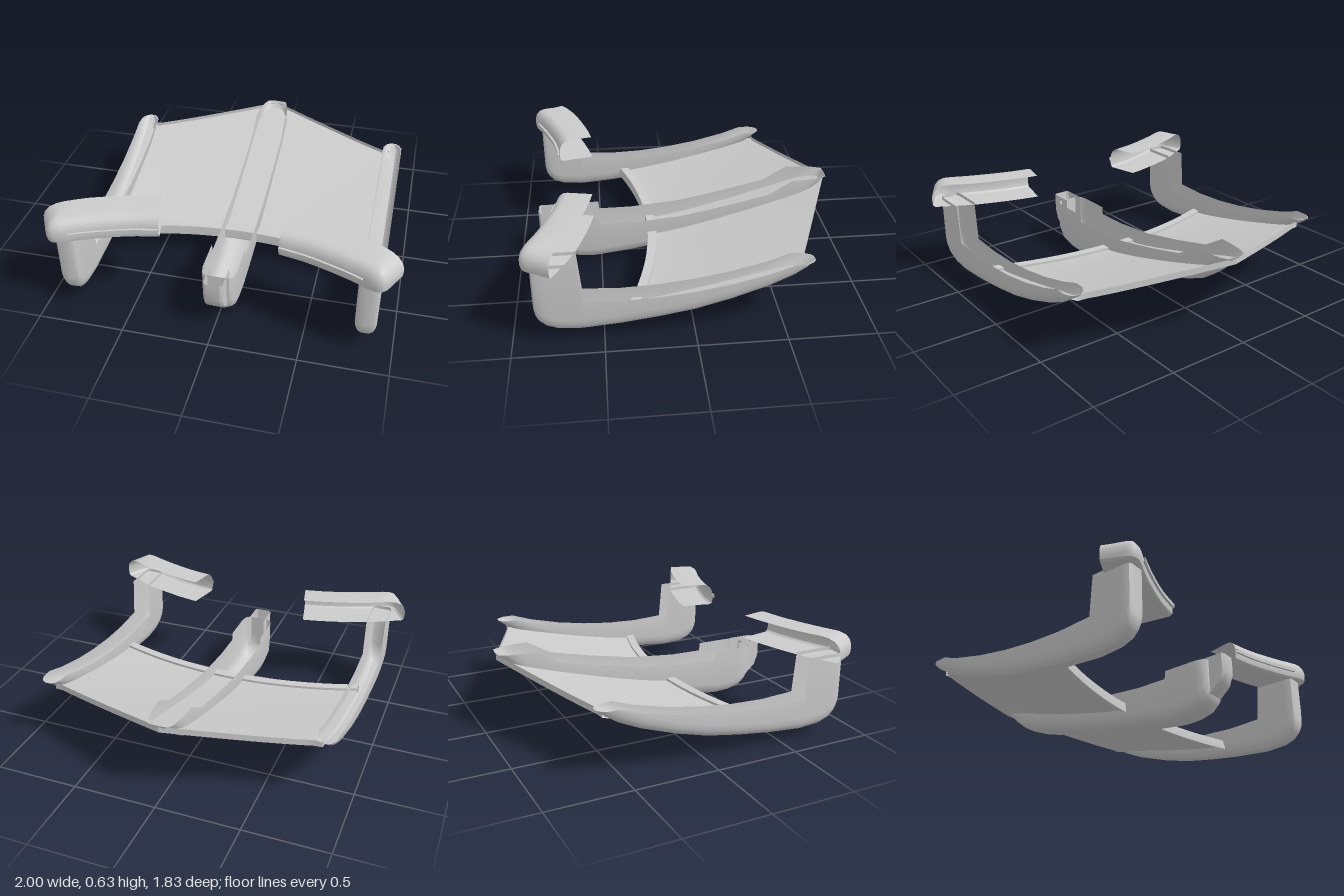
import * as THREE from 'three';
import { toCreasedNormals } from 'three/addons/utils/BufferGeometryUtils.js';

const material = new THREE.MeshStandardMaterial({ color: 0xcccccc, side: THREE.DoubleSide });

// Skin a list of rows, each row holding the same number of [x, y, z] points
function skin(name, rows, crease = 0.6) {
  const n = rows[0].length, index = [];
  for (let i = 0; i < rows.length - 1; i++) {
    for (let j = 0; j < n - 1; j++) {
      const a = i * n + j, b = a + n;
      index.push(a, b, a + 1, a + 1, b, b + 1);
    }
  }
  const geo = new THREE.BufferGeometry();
  geo.setAttribute('position', new THREE.Float32BufferAttribute(rows.flat(2), 3));
  geo.setIndex(index);
  const mesh = new THREE.Mesh(toCreasedNormals(geo, crease), material);
  mesh.name = name;
  return mesh;
}

// Open-topped hull: stations are [z, top y, bottom y, half width], front to back
const U = [[-1, 1], [-1, 0.075], [-0.9, 0.04], [-0.7, 0.015], [-0.4, 0], [0.4, 0],
  [0.7, 0.015], [0.9, 0.04], [1, 0.075], [1, 1]];
function hull(name, stations, cx) {
  const rows = stations.map(([z, top, bottom, w]) => U.map(([u, h]) =>
    [cx + u * w, h === 1 ? top : Math.min(top, bottom + h), z]));
  return skin(name, rows);
}

const RAIL = [
  [0.87, 0.51, 0.2, 0], [0.87, 0.51, 0.2, 0.04], [0.862, 0.51, 0.165, 0.052],
  [0.845, 0.51, 0.135, 0.058], [0.81, 0.51, 0.102, 0.06], [0.75, 0.51, 0.079, 0.06],
  [0.63, 0.51, 0.07, 0.06], [0.61, 0.27, 0.07, 0.06], [0.4, 0.26, 0.088, 0.06],
  [0.2, 0.268, 0.115, 0.06], [0, 0.29, 0.15, 0.06], [-0.2, 0.325, 0.205, 0.06],
  [-0.4, 0.375, 0.275, 0.06], [-0.53, 0.42, 0.335, 0.06], [-0.6, 0.42, 0.38, 0.058],
  [-0.635, 0.42, 0.405, 0.04], [-0.65, 0.42, 0.418, 0.02], [-0.653, 0.42, 0.42, 0]];

const KEEL = [
  [0.775, 0.31, 0.1, 0], [0.775, 0.31, 0.1, 0.07], [0.755, 0.31, 0.065, 0.09],
  [0.71, 0.31, 0.03, 0.1], [0.63, 0.31, 0.008, 0.1], [0.55, 0.31, 0.004, 0.1],
  [0.505, 0.31, 0.008, 0.1], [0.5, 0.26, 0.009, 0.1], [0.3, 0.262, 0.036, 0.1],
  [0, 0.29, 0.09, 0.1], [-0.3, 0.35, 0.16, 0.1], [-0.55, 0.41, 0.232, 0.1],
  [-0.69, 0.495, 0.29, 0.098], [-0.78, 0.495, 0.36, 0.092], [-0.86, 0.495, 0.435, 0.08],
  [-0.91, 0.495, 0.485, 0.058], [-0.915, 0.495, 0.495, 0]];

// Curved deck with an arched flat front lip, a pointed back edge and a low back rim
function deck() {
  const rows = [], nx = 32, nz = 20;
  for (let i = 0; i <= nx; i++) {
    const x = -0.82 + 1.64 * i / nx, a = Math.min(1, Math.abs(x) / 0.78);
    const zf = 0.21 + 0.15 * (x / 0.82) ** 2, zb = -0.91 + 0.31 * a;
    const yb = 0.37 + 0.095 * (1 - a) ** 1.2;
    const top = [], under = [];
    for (let j = 0; j <= nz; j++) {
      const t = j / nz, z = zf - 0.06 + (zb - zf + 0.06) * t;
      const y = 0.175 + (yb - 0.175) * t ** 1.2;
      top.push([x, y, z]);
      under.unshift([x, y - 0.015, z]);
    }
    rows.push([...under, [x, 0.13, zf], [x, 0.15, zf], [x, 0.19, zf - 0.005],
      [x, 0.19, zf - 0.06], ...top, [x, yb + 0.022, zb], under[0]]);
  }
  return skin('deck', rows);
}

// Bumper channel section: [fraction from back edge to outer edge, y]
const CHANNEL = [[0, 0.49], [0.92, 0.49], [0.98, 0.5], [1, 0.52], [1, 0.555],
  [0.97, 0.585], [0.9, 0.61], [0.8, 0.625], [0.68, 0.63], [0, 0.63]];

function bumper(side) {
  const group = new THREE.Group();
  const path = (pts) => new THREE.CatmullRomCurve3(pts.map(([x, z]) => new THREE.Vector3(x, 0, z)));
  const front = path([[0.335, 0.735], [0.48, 0.765], [0.62, 0.81], [0.76, 0.865], [0.86, 0.91],
    [0.9, 0.912], [0.925, 0.895], [0.96, 0.835], [1, 0.76]]);
  const back = path([[0.38, 0.53], [0.48, 0.55], [0.59, 0.58], [0.7, 0.615], [0.78, 0.645],
    [0.8, 0.655], [0.815, 0.662], [0.825, 0.667], [0.835, 0.672]]);
  const rows = [], strip = [];
  for (let i = 0; i <= 40; i++) {
    const p = front.getPoint(i / 40), b = back.getPoint(i / 40);
    // The upper edge grows rounder towards the outer end
    const round = 1 + 1.1 * THREE.MathUtils.smoothstep(i, 24, 40);
    rows.push(CHANNEL.map(([u, y]) => {
      const f = y > 0.53 && u > 0 ? 1 - (1 - u) * round : u;
      return [side * (b.x + (p.x - b.x) * f), y, b.z + (p.z - b.z) * f];
    }));
    // Narrow trim strip along the front face
    if (p.x < 0.81) strip.push([[0, 0.535], [0.014, 0.535], [0.014, 0.557], [0, 0.557]]
      .map(([d, y]) => [side * p.x, y, p.z + d]));
  }
  group.add(skin('bumperChannel', rows), skin('bumperTrim', strip, 0.3));
  group.name = side > 0 ? 'leftBumper' : 'rightBumper';
  return group;
}

// Open box on the nose of the keel, its underside sloping back into the hull
function noseSocket() {
  const outline = [[-0.055, 0.71], [-0.055, 0.86], [-0.04, 0.872], [0.04, 0.872], [0.055, 0.86], [0.055, 0.71]];
  const rows = [[0.41, 0.1], [0.85, 0.16], [1, 0.22], [1, 0.33]].map(([s, y]) =>
    outline.map(([x, z]) => [x, y, 0.71 + (z - 0.71) * s]));
  return skin('noseSocket', rows, 0.5);
}

export function createModel() {
  const model = new THREE.Group();
  model.name = 'frame';
  model.add(deck(), hull('keel', KEEL, 0), noseSocket());
  for (const side of [1, -1]) {
    model.add(hull(side > 0 ? 'leftRail' : 'rightRail', RAIL, side * 0.84), bumper(side));
  }
  return model;
}
